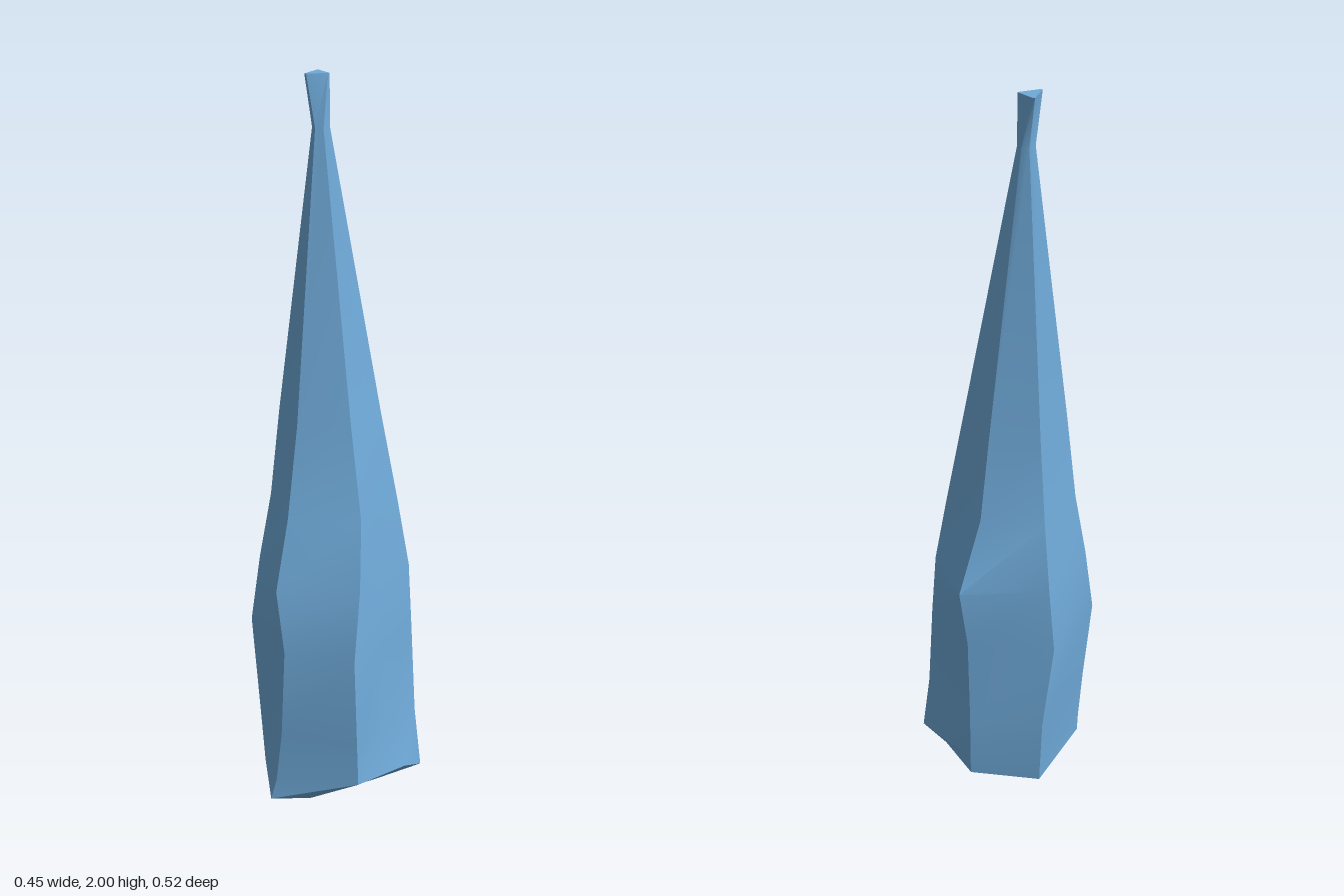
import * as THREE from 'three';
import { toCreasedNormals } from 'three/addons/utils/BufferGeometryUtils.js';

// Corner order of each section: front, left front, left back, back, right back, right front.
// Each section is its height followed by the [x, z] of the six corners.
const SECTIONS = [
  [0.2, [-0.015, 0.235], [0.19, 0.157], [0.19, -0.115], [0, -0.222], [-0.2, -0.165], [-0.2, 0.11]],
  [0.45, [-0.01, 0.225], [0.18, 0.157], [0.175, -0.115], [0.005, -0.222], [-0.222, -0.14], [-0.225, 0.11]],
  [0.64, [-0.02, 0.245], [0.155, 0.1], [0.155, -0.125], [0.008, -0.262], [-0.205, -0.14], [-0.208, 0.09]],
  [0.83, [-0.03, 0.18], [0.135, 0.07], [0.125, -0.11], [-0.01, -0.168], [-0.18, -0.12], [-0.185, 0.065]],
  [1.08, [-0.04, 0.125], [0.085, 0.05], [0.085, -0.085], [-0.03, -0.155], [-0.155, -0.1], [-0.16, 0.055]],
  [1.86, [-0.07, 0.005], [-0.05, -0.005], [-0.048, -0.03], [-0.065, -0.04], [-0.085, -0.035], [-0.088, -0.005]],
  [2, [-0.09, 0.016], [-0.052, -0.026], [-0.05, -0.031], [-0.1, -0.051], [-0.107, -0.051], [-0.096, 0.016]],
];

// Footprint and the chipped edge above it, as [x, y, z]; the third corner is mid left
const FOOT = [
  [-0.035, 0, 0.26], [0.05, 0, 0.19], [0.13, 0, 0], [0.13, 0, -0.13],
  [0, 0, -0.22], [-0.19, 0, -0.16], [-0.19, 0, 0.1],
];
const CHIP = [
  [-0.025, 0.06, 0.247], [0.195, 0.08, 0.157], [0.225, 0.07, -0.02], [0.213, 0.03, -0.115],
  [0, 0.05, -0.222], [-0.193, 0.05, -0.163], [-0.19, 0.05, 0.105],
];

// Turns a section into seven points, adding the mid-left point
function ringFrom([y, ...corners]) {
  const pts = corners.map(([x, z]) => [x, y, z]);
  pts.splice(2, 0, pts[1].map((v, i) => (v + pts[2][i]) / 2));
  return pts;
}

function shardGeometry() {
  const rings = [FOOT, CHIP, ...SECTIONS.map(ringFrom)];
  const n = FOOT.length;
  const index = [];
  for (let r = 0; r < rings.length - 1; r++) {
    for (let i = 0; i < n; i++) {
      const a = r * n + i, b = r * n + (i + 1) % n;
      index.push(a, b, b + n, a, b + n, a + n);
    }
  }
  // Close the foot and the tip
  const top = (rings.length - 1) * n;
  for (let i = 1; i < n - 1; i++) {
    index.push(0, i + 1, i);
    index.push(top, top + i, top + i + 1);
  }
  const geometry = new THREE.BufferGeometry();
  geometry.setAttribute('position', new THREE.Float32BufferAttribute(rings.flat(2), 3));
  geometry.setIndex(index);
  return toCreasedNormals(geometry, THREE.MathUtils.degToRad(32));
}

export function createModel() {
  const iceBlue = new THREE.MeshStandardMaterial({ color: 0x6faad9 });
  iceBlue.name = 'iceBlue';
  const shard = new THREE.Mesh(shardGeometry(), iceBlue);
  shard.name = 'crystalShard';
  const model = new THREE.Group();
  model.name = 'crystal';
  model.add(shard);
  return model;
}
